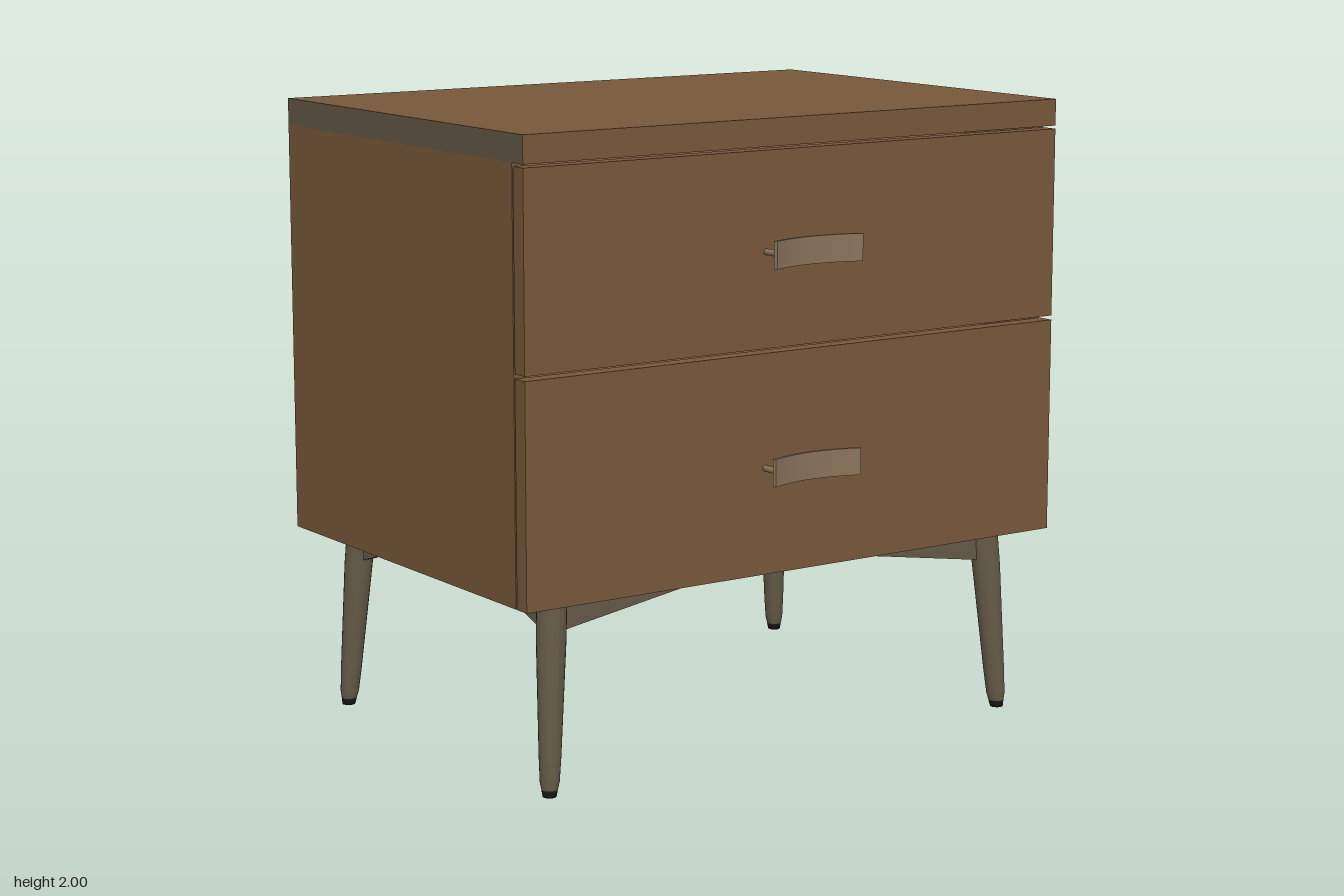
import * as THREE from 'three';

const mat = (name, color, side = THREE.FrontSide) => {
  const m = new THREE.MeshStandardMaterial({ color, side });
  m.name = name;
  return m;
};

export function createModel() {
  const wood = mat('walnut', 0x78583a);
  const grey = mat('greyed wood', 0x625845);
  const legWood = mat('leg wood', 0x655a47);
  const brass = mat('handle', 0x8a745b, THREE.DoubleSide);
  const black = mat('black panel', 0x1b1b1b);

  const root = new THREE.Group();
  root.name = 'nightstand';

  const add = (name, geometry, material, parent = root) => {
    const mesh = new THREE.Mesh(geometry, material);
    mesh.name = name;
    parent.add(mesh);
    return mesh;
  };
  // Box given by its minimum and maximum corners
  const box = (name, a, b, material, parent) => {
    const size = b.map((v, i) => v - a[i]);
    const mesh = add(name, new THREE.BoxGeometry(...size), material, parent);
    mesh.position.set(...a.map((v, i) => (v + b[i]) / 2));
    return mesh;
  };

  // Carcass
  const backZ = -0.75, caseZ = 0.605, frontZ = 0.665, base = 0.6, top = 1.915;
  box('top', [-1, top, backZ], [1, 2, frontZ], [grey, grey, wood, wood, wood, wood]);
  box('leftSide', [0.96, base, backZ], [1, top, caseZ], [wood, wood, wood, wood, wood, grey]);
  box('rightSide', [-1, base, backZ], [-0.96, top, caseZ], wood);
  box('bottom', [-0.96, base, backZ], [0.96, base + 0.04, caseZ], wood);

  // Back panel with a round cable hole
  const panel = new THREE.Shape();
  panel.moveTo(-0.96, base + 0.01).lineTo(0.96, base + 0.01).lineTo(0.96, top).lineTo(-0.96, top).closePath();
  const hole = new THREE.Path();
  hole.absarc(0, 1.71, 0.042, 0, Math.PI * 2, true);
  panel.holes.push(hole);
  const backGeo = new THREE.ExtrudeGeometry(panel, { depth: 0.02, bevelEnabled: false, curveSegments: 24 });
  add('backPanel', backGeo, black).position.z = backZ - 0.003;

  // Curved handle plate, bowed toward the drawer
  const arcZ = 1.095, bow = 0.44;
  const arc = new THREE.Shape();
  arc.absarc(0, 0, 0.392, -Math.PI / 2 - bow, -Math.PI / 2 + bow, false);
  arc.absarc(0, 0, 0.381, -Math.PI / 2 + bow, -Math.PI / 2 - bow, true);
  arc.closePath();
  const plateGeo = new THREE.ExtrudeGeometry(arc, { depth: 0.085, bevelEnabled: false, curveSegments: 20 });
  plateGeo.rotateX(Math.PI / 2).translate(0, 0.0425, arcZ);
  const postGeo = new THREE.CylinderGeometry(0.01, 0.01, 0.07, 12).rotateX(Math.PI / 2);

  // Drawers with boxes and handles
  const drawers = [
    { name: 'lowerDrawer', y0: 0.6, y1: 1.288, handleY: 0.933, edge: wood },
    { name: 'upperDrawer', y0: 1.302, y1: 1.905, handleY: 1.598, edge: grey },
  ];
  for (const { name, y0, y1, handleY, edge } of drawers) {
    const g = new THREE.Group();
    g.name = name;
    root.add(g);
    box(name + 'Front', [-1, y0, caseZ + 0.006], [1, y1, frontZ], [edge, wood, wood, wood, wood, wood], g);
    box(name + 'Box', [-0.94, y0 + 0.06, -0.66], [0.94, y1 - 0.04, caseZ + 0.006], wood, g);
    const handle = new THREE.Group();
    handle.name = name + 'Handle';
    handle.position.y = handleY;
    g.add(handle);
    add('handlePlate', plateGeo, brass, handle);
    for (const s of [-1, 1]) add('handlePost', postGeo, brass, handle).position.set(s * 0.14, 0, 0.695);
  }

  // Tapered leg profile, leaned outward by shearing the vertices with height
  const leanedLathe = (points, sx, sz) => {
    const geo = new THREE.LatheGeometry(points.map(([r, y]) => new THREE.Vector2(r, y)), 24);
    const p = geo.attributes.position;
    for (let i = 0; i < p.count; i++) {
      const lean = 1 - p.getY(i) / base;
      p.setX(i, p.getX(i) + sx * 0.037 * lean);
      p.setZ(i, p.getZ(i) + sz * 0.039 * lean);
    }
    geo.computeVertexNormals();
    return geo;
  };
  const legProfile = [[0.025, 0.022], [0.03, 0.045], [0.034, 0.12], [0.04, 0.3], [0.046, 0.48], [0.046, base]];
  const footProfile = [[0, 0], [0.021, 0], [0.025, 0.022]];

  // Triangular brace running from the leg along the underside
  const braceGeo = (length) => {
    const s = new THREE.Shape();
    s.moveTo(0, base).lineTo(0, 0.493).lineTo(0.045, 0.5).lineTo(length, base).closePath();
    return new THREE.ExtrudeGeometry(s, { depth: 0.03, bevelEnabled: false }).translate(0, 0, -0.015);
  };
  const longBrace = braceGeo(0.66), shortBrace = braceGeo(0.35);

  for (const sx of [-1, 1]) for (const sz of [-1, 1]) {
    const leg = new THREE.Group();
    leg.name = (sz > 0 ? 'front' : 'back') + (sx > 0 ? 'Left' : 'Right') + 'Leg';
    leg.position.set(sx * 0.835, 0, sz > 0 ? 0.54 : -0.62);
    root.add(leg);
    add('legShaft', leanedLathe(legProfile, sx, sz), legWood, leg);
    add('legFoot', leanedLathe(footProfile, sx, sz), black, leg);
    add('longBrace', longBrace, legWood, leg).rotation.y = sx > 0 ? Math.PI : 0;
    add('shortBrace', shortBrace, legWood, leg).rotation.y = sz * Math.PI / 2;
  }
  return root;
}
